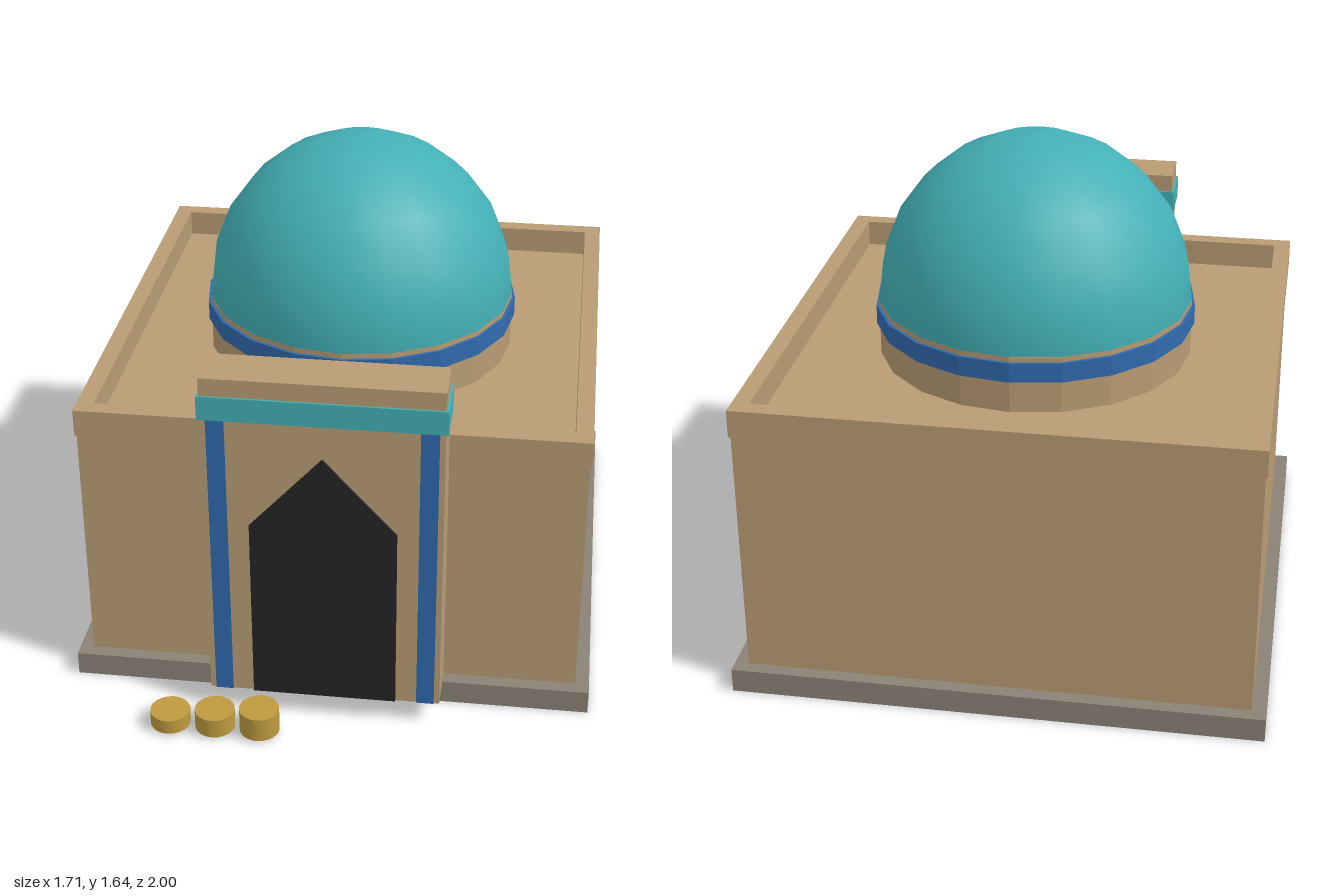
import * as THREE from 'three';

const mat = (name, color, flatShading = false) => {
  const m = new THREE.MeshStandardMaterial({ color, flatShading });
  m.name = name;
  return m;
};

export function createModel() {
  const root = new THREE.Group();
  root.name = 'domedShrine';
  const sand = mat('sandstone', 0xb89c74, true);
  const stone = mat('greyStone', 0x8b8276);
  const teal = mat('tealTile', 0x43b0b6);
  const blue = mat('blueTile', 0x306aad, true);
  const dark = mat('darkDoorway', 0x252525);
  const gold = mat('goldClay', 0xbd9a3e);

  const add = (name, geo, material, x, y, z, parent = root) => {
    const m = new THREE.Mesh(geo, material);
    m.name = name;
    m.position.set(x, y, z);
    parent.add(m);
    return m;
  };
  // Box given by its limits on each axis
  const box = (name, material, [x0, x1], [y0, y1], [z0, z1], parent) =>
    add(name, new THREE.BoxGeometry(x1 - x0, y1 - y0, z1 - z0), material,
      (x0 + x1) / 2, (y0 + y1) / 2, (z0 + z1) / 2, parent);

  const cz = -0.145; // centre of the building

  // Plinth and main block
  box('plinth', stone, [-0.855, 0.855], [0, 0.08], [-1, 0.71]);
  box('hall', sand, [-0.81, 0.81], [0.08, 0.91], [cz - 0.81, cz + 0.81]);

  // Parapet: square ring round the sunken roof
  const square = (Type, r) => {
    const p = new Type();
    p.moveTo(-r, -r);
    p.lineTo(r, -r);
    p.lineTo(r, r);
    p.lineTo(-r, r);
    p.closePath();
    return p;
  };
  const ring = square(THREE.Shape, 0.816);
  ring.holes.push(square(THREE.Path, 0.76));
  const parapetGeo = new THREE.ExtrudeGeometry(ring, { depth: 0.09, bevelEnabled: false });
  parapetGeo.rotateX(-Math.PI / 2);
  add('parapet', parapetGeo, sand, 0, 0.91, cz);

  // Drum, tiled band and dome
  add('drum', new THREE.CylinderGeometry(0.52, 0.52, 0.19, 20), sand, 0, 1.005, cz);
  add('drumBand', new THREE.CylinderGeometry(0.53, 0.53, 0.065, 20), blue, 0, 1.05, cz);
  const dome = add('dome', new THREE.SphereGeometry(0.52, 20, 6, 0, Math.PI * 2, 0, Math.PI / 2),
    teal, 0, 1.098, cz);
  dome.scale.y = 1.05;

  // Entrance portal
  const portal = new THREE.Group();
  portal.name = 'portal';
  root.add(portal);
  box('portalBlock', sand, [-0.375, 0.375], [0.08, 1.23], [0.662, 0.825], portal);
  box('portalBand', teal, [-0.383, 0.383], [1.09, 1.17], [0.655, 0.832], portal);
  for (const s of [-1, 1]) {
    const strip = box('portalStrip', blue, [0.3, 0.357], [0.08, 1.09], [0.658, 0.829], portal);
    strip.position.x *= s;
  }

  // Pointed doorway
  const arch = new THREE.Shape([
    [-0.232, 0.08], [0.232, 0.08], [0.232, 0.72], [0, 0.975], [-0.232, 0.72],
  ].map(([x, y]) => new THREE.Vector2(x, y)));
  add('doorway', new THREE.ExtrudeGeometry(arch, { depth: 0.008, bevelEnabled: false }),
    dark, 0, 0, 0.824, portal);

  // Row of pots of rising height
  [[-0.49, 0.05], [-0.343, 0.066], [-0.197, 0.083]].forEach(([x, h]) => {
    add('pot', new THREE.CylinderGeometry(0.065, 0.065, h, 20), gold, x, 0.01 + h / 2, 0.935);
  });

  return root;
}
